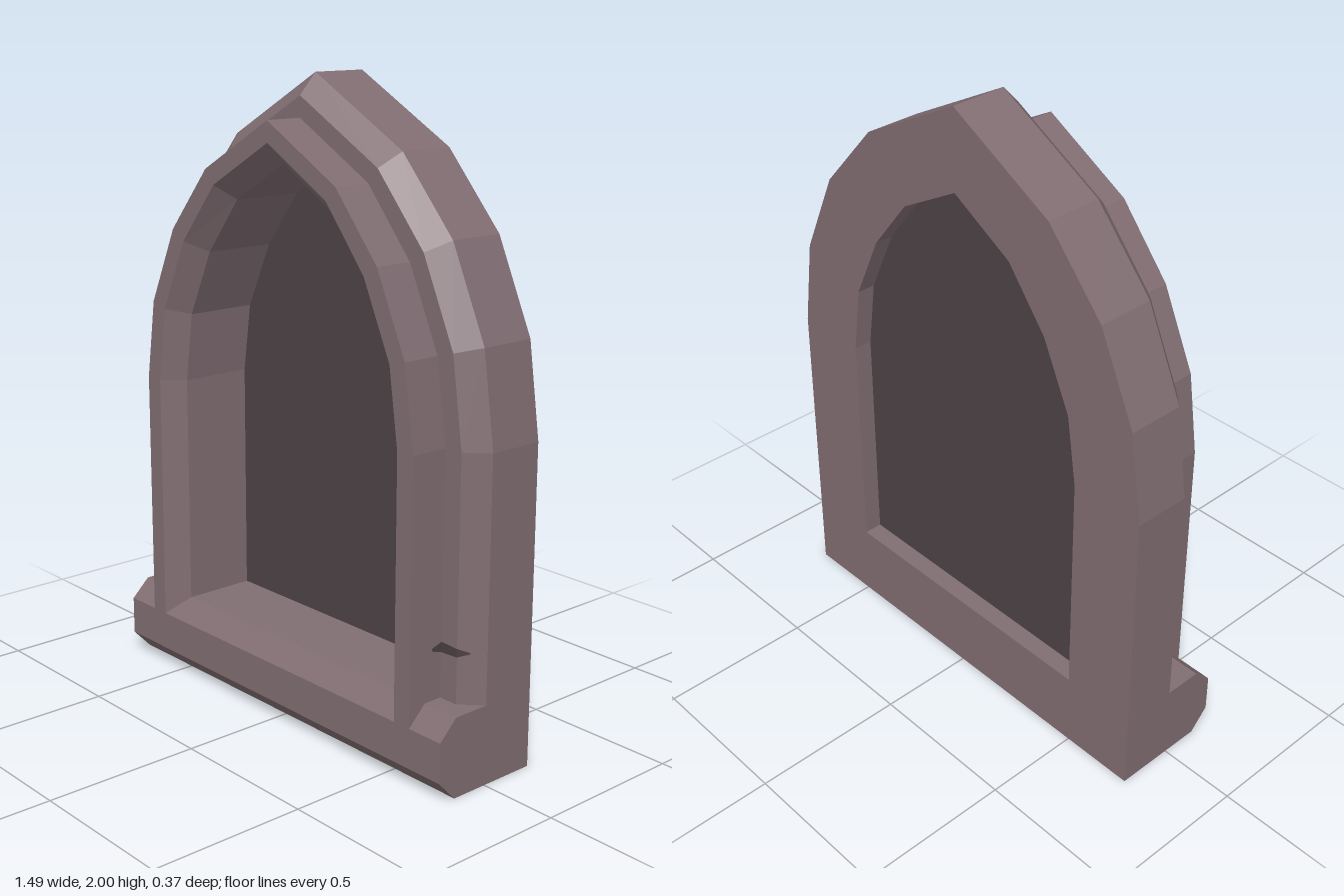
import * as THREE from 'three';

const stone = new THREE.MeshStandardMaterial({ color: 0x806d72 });
stone.name = 'stone';
stone.flatShading = true;
const pane = new THREE.MeshStandardMaterial({ color: 0x4e4348 });
pane.name = 'dark pane';
const crack = new THREE.MeshStandardMaterial({ color: 0x4a3f43, side: THREE.DoubleSide });
crack.name = 'crack';

const BACK = -0.185, FRONT = 0.185, SILL = 0.25;

// Right half of the outermost and the front inner arch, from springing to apex
const OUTER = [[0.745, 1], [0.703, 1.29], [0.575, 1.57], [0.372, 1.797], [0, 2]];
const INNER = [[0.557, 1], [0.522, 1.24], [0.415, 1.47], [0.258, 1.66], [0, 1.805]];

// Whole arch at a number of inset steps (0 = outer, 3 = front inner), right foot to left foot
function arch(step, foot) {
  const t = step / 3;
  const half = OUTER.map(([x, y], i) => [
    x + (INNER[i][0] - x) * t,
    y + (INNER[i][1] - y) * t,
  ]);
  half.unshift([half[0][0], foot]);
  const mirrored = half.slice(0, -1).reverse().map(([x, y]) => [-x, y]);
  return [...half, ...mirrored];
}

// Faceted surface through a grid of rows of points
function loft(rows) {
  const pos = [];
  for (let j = 0; j < rows.length - 1; j++) {
    for (let i = 0; i < rows[j].length - 1; i++) {
      const a = rows[j][i], b = rows[j][i + 1];
      const c = rows[j + 1][i + 1], d = rows[j + 1][i];
      pos.push(...a, ...b, ...d, ...b, ...c, ...d);
    }
  }
  const geo = new THREE.BufferGeometry();
  geo.setAttribute('position', new THREE.Float32BufferAttribute(pos, 3));
  geo.computeVertexNormals();
  return geo;
}

function add(group, name, geometry, material) {
  const mesh = new THREE.Mesh(geometry, material);
  mesh.name = name;
  group.add(mesh);
  return mesh;
}

export function createModel() {
  const group = new THREE.Group();
  group.name = 'archedWindow';

  // Moulded frame: [inset step, z, foot height], round the section
  const section = [
    [0, BACK, SILL], [0, 0, SILL], [1, 0.06, SILL], [2, 0.06, SILL],
    [2, FRONT, 0.19], [3, FRONT, 0.19], [4, 0.123, SILL], [4, BACK, SILL],
    [0, BACK, SILL],
  ];
  const rows = section.map(([step, z, foot]) => arch(step, foot).map(([x, y]) => [x, y, z]));
  add(group, 'archFrame', loft(rows), stone);

  // Chamfered sill, extruded across the full width
  const profile = new THREE.Shape([
    [-BACK, 0], [-BACK, SILL], [-0.123, SILL], [-FRONT, 0.19], [-FRONT, 0.065], [-0.123, 0],
  ].map(([x, y]) => new THREE.Vector2(x, y)));
  const sill = new THREE.ExtrudeGeometry(profile, { depth: 1.49, bevelEnabled: false });
  sill.translate(0, 0, -0.745);
  sill.rotateY(Math.PI / 2); // profile x becomes -z
  add(group, 'sill', sill, stone);

  // Pane set into the opening
  const outline = new THREE.Shape(arch(4, SILL).map(([x, y]) => new THREE.Vector2(x, y)));
  const paneGeo = new THREE.ExtrudeGeometry(outline, { depth: 0.008, bevelEnabled: false });
  paneGeo.translate(0, 0, -0.124);
  add(group, 'pane', paneGeo, pane);

  // Small crack across the step of each jamb: [x, z, half height]
  const path = [[0.622, 0.1, 0.004], [0.622, 0.062, 0.016], [0.683, 0.062, 0.013], [0.711, 0.035, 0.002]];
  for (const side of [1, -1]) {
    const edges = [-1, 1].map((s) => path.map(([x, z, h]) => [side * x, 0.408 + s * h, z]));
    add(group, side > 0 ? 'leftCrack' : 'rightCrack', loft(edges), crack);
  }

  return group;
}
